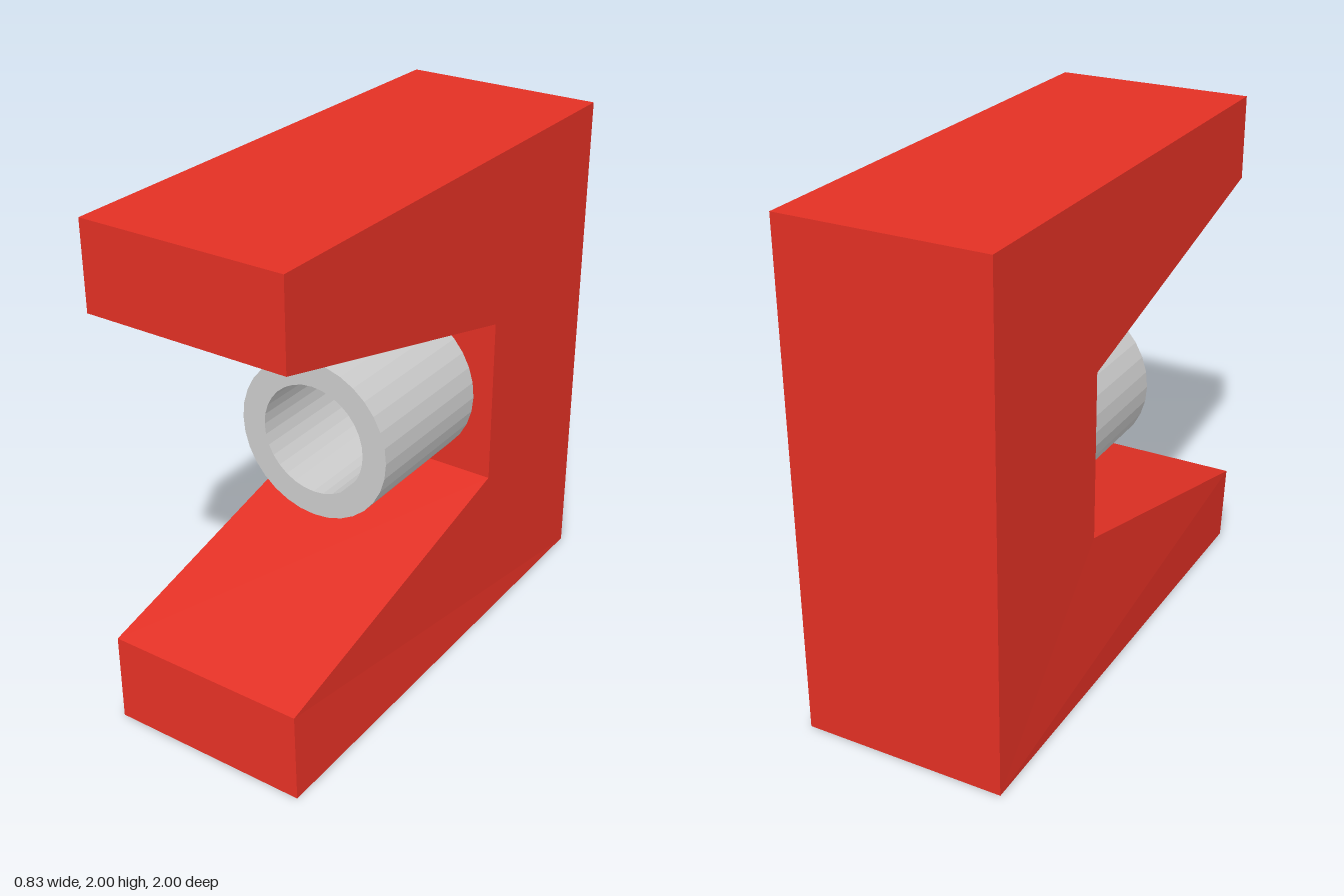
import * as THREE from 'three';

const X_RIGHT = -0.395, X_LEFT = 0.41;
const LIP_Y = 0.335, LIP_Z = 0.98;

// C-shaped block: side profile as [z, y], extruded across the width
function createClamp() {
  const profile = [
    [1, 0], [LIP_Z, LIP_Y], [-0.295, 0.667], [-0.295, 1.333],
    [1, 1.667], [1, 2], [-1, 2], [-1, 0],
  ];
  const shape = new THREE.Shape(profile.map(([z, y]) => new THREE.Vector2(-z, y)));
  const geometry = new THREE.ExtrudeGeometry(shape, {
    depth: X_LEFT - X_RIGHT, bevelEnabled: false,
  });
  geometry.rotateY(Math.PI / 2);
  geometry.translate(X_RIGHT, 0, 0);

  // The lip edge of the lower jaw is skewed slightly sideways
  const position = geometry.attributes.position;
  for (let i = 0; i < position.count; i++) {
    if (Math.abs(position.getY(i) - LIP_Y) < 0.001) position.setX(i, position.getX(i) - 0.02);
  }
  geometry.computeVertexNormals();

  const mesh = new THREE.Mesh(geometry, new THREE.MeshStandardMaterial({ color: 0xe23024, flatShading: true }));
  mesh.name = 'clampBody';
  return mesh;
}

// Hollow cylinder with a closed back, opening toward the front
function createTube() {
  const back = -0.295, floor = -0.285, front = 0.32, outer = 0.32, inner = 0.22;
  const points = [
    [0, back], [outer, back], [outer, front], [inner, front], [inner, floor], [0, floor],
  ].map(([r, z]) => new THREE.Vector2(r, z));
  const geometry = new THREE.LatheGeometry(points, 32);
  geometry.rotateX(Math.PI / 2);

  const mesh = new THREE.Mesh(geometry, new THREE.MeshStandardMaterial({ color: 0xcccccc, flatShading: true }));
  mesh.name = 'tube';
  mesh.position.set(0.008, 1, 0);
  return mesh;
}

export function createModel() {
  const model = new THREE.Group();
  model.name = 'clampWithTube';
  model.add(createClamp(), createTube());
  return model;
}
